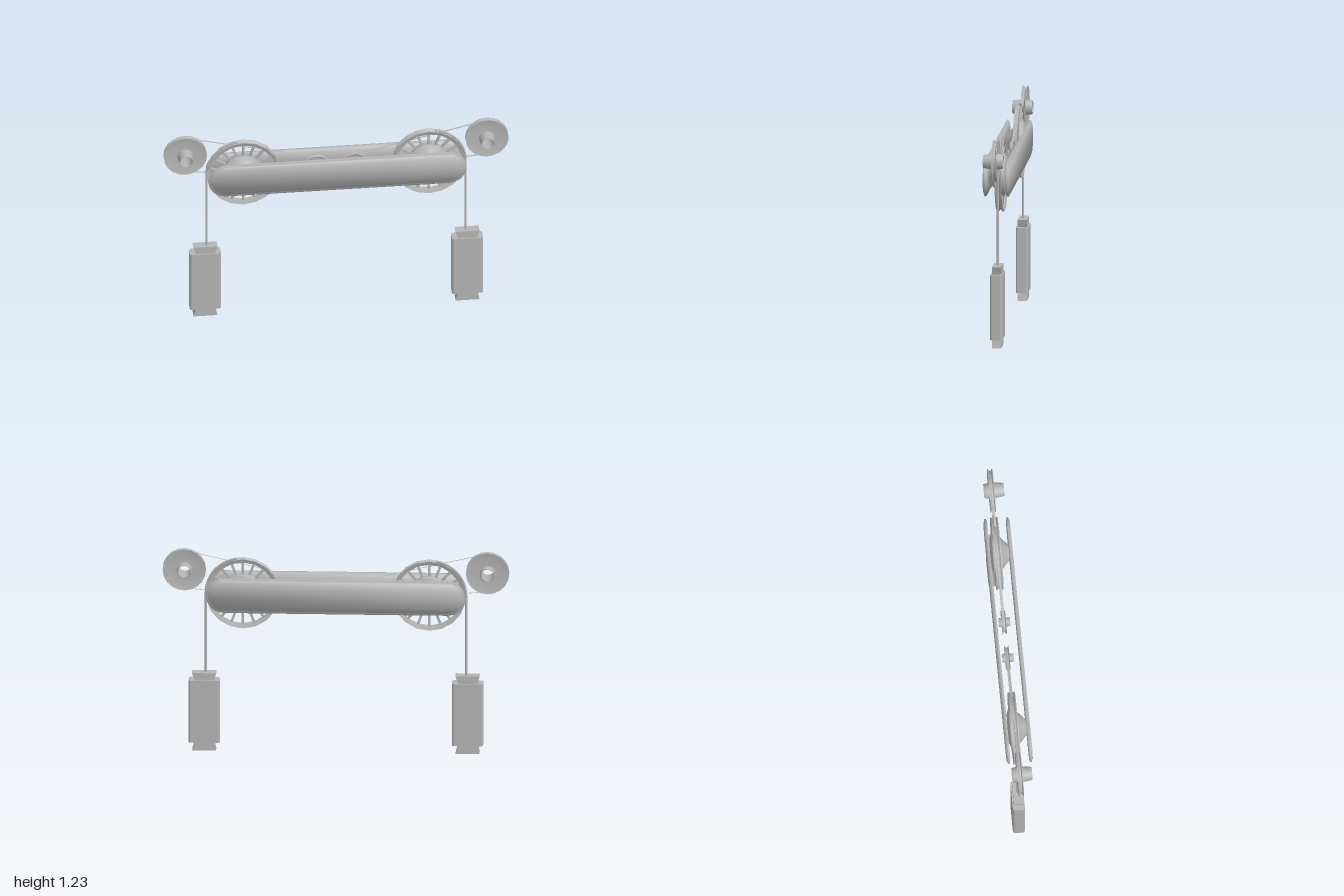
import * as THREE from 'three';
import { toCreasedNormals, mergeGeometries } from 'three/addons/utils/BufferGeometryUtils.js';

const grey = new THREE.MeshStandardMaterial({ color: 0xb3b3b3, side: THREE.DoubleSide });
grey.name = 'grey metal';

function add(parent, name, geo, x = 0, y = 0, z = 0) {
  const m = new THREE.Mesh(geo, grey);
  m.name = name;
  m.position.set(x, y, z);
  parent.add(m);
  return m;
}

// Turned part about the z axis; profile points are [radius, z]
function turned(points, sides) {
  const geo = new THREE.LatheGeometry(points.map(p => new THREE.Vector2(p[0], p[1])), sides);
  return toCreasedNormals(geo.rotateX(Math.PI / 2), 0.6);
}

// Long round-ended cover: rings are [radius, z, outward normal, z normal], closed by a strip cap
function coverPlate(rings, halfLength) {
  const pos = [], nor = [], idx = [], half = 16, n = 2 * (half + 1);
  for (const [r, z, nr, nz] of rings) {
    for (let i = 0; i < n; i++) {
      const right = i <= half;
      const a = -Math.PI / 2 + Math.PI * (right ? i : i - 1) / half;
      const v = new THREE.Vector3(Math.cos(a) * nr, Math.sin(a) * nr, nz).normalize();
      pos.push((right ? halfLength : -halfLength) + r * Math.cos(a), r * Math.sin(a), z);
      nor.push(v.x, v.y, v.z);
    }
  }
  for (let k = 0; k < rings.length - 1; k++) {
    for (let i = 0; i < n; i++) {
      const a = k * n + i, b = k * n + (i + 1) % n;
      idx.push(a, b, b + n, a, b + n, a + n);
    }
  }
  const last = (rings.length - 1) * n;
  for (let i = 0; i < half; i++) {
    // bottom edge point i faces top edge point on the same side of the middle
    const a = i, b = i + 1, c = n - 1 - b, d = n - 1 - a;
    idx.push(last + a, last + b, last + c, last + a, last + c, last + d);
    idx.push(a, c, b, a, d, c);
  }
  idx.push(last + half, last + half + 1, last + half, half, half, half + 1);
  const geo = new THREE.BufferGeometry();
  geo.setAttribute('position', new THREE.Float32BufferAttribute(pos, 3));
  geo.setAttribute('normal', new THREE.Float32BufferAttribute(nor, 3));
  geo.setIndex(idx);
  return geo;
}

// Flat belt running round two pulleys
function beltGeometry(c1, r1, c2, r2, width) {
  const dx = c1[0] - c2[0], dy = c1[1] - c2[1];
  const t = Math.atan2(dy, dx), f = Math.acos(-(r1 - r2) / Math.hypot(dx, dy));
  const path = [], steps = 16;
  const arc = (c, r, from, to) => {
    for (let i = 0; i <= steps; i++) {
      const a = from + (to - from) * i / steps;
      path.push([c[0] + r * Math.cos(a), c[1] + r * Math.sin(a)]);
    }
  };
  arc(c1, r1, t - f, t + f);
  arc(c2, r2, t + f, t + 2 * Math.PI - f);
  path.push(path[0]);
  const geo = new THREE.PlaneGeometry(1, 1, path.length - 1, 1);
  const p = geo.attributes.position;
  for (let i = 0; i < p.count; i++) {
    const q = path[i % path.length];
    p.setXYZ(i, q[0], q[1], (i < path.length ? -0.5 : 0.5) * width);
  }
  geo.computeVertexNormals();
  return geo;
}

// Block tapering from bottom width to top width
function taperBlock(wBottom, wTop, h, d) {
  const geo = new THREE.BoxGeometry(1, h, d);
  const p = geo.attributes.position;
  for (let i = 0; i < p.count; i++) p.setX(i, p.getX(i) * (p.getY(i) > 0 ? wTop : wBottom));
  geo.computeVertexNormals();
  return geo;
}

// Upright block with chamfered vertical edges
function weightBody(w, h, d, c) {
  const x = w / 2, y = d / 2, s = new THREE.Shape();
  s.moveTo(-x + c, -y);
  [[x - c, -y], [x, -y + c], [x, y - c], [x - c, y], [-x + c, y], [-x, y - c], [-x, -y + c]]
    .forEach(p => s.lineTo(p[0], p[1]));
  return new THREE.ExtrudeGeometry(s, { depth: h, bevelEnabled: false }).rotateX(-Math.PI / 2);
}

export function createModel() {
  const model = new THREE.Group();
  model.name = 'pulleyMechanism';
  const Z = -0.015;

  // Front and back covers
  const cover = coverPlate([
    [0.094, 0.056, 1, -1], [0.104, 0.060, 1, -0.3], [0.106, 0.069, 1, 0.4],
    [0.096, 0.070, 0.3, 1], [0.092, 0.071, 1, 0.6], [0.089, 0.075, 1, 1.2]], 0.643);
  add(model, 'frontCover', cover, 0, 0.963, 0);
  add(model, 'backCover', cover, 0, 0.963, 0).rotation.y = Math.PI;

  // Shared geometries
  const rimGeo = turned([[0.19, -0.012], [0.212, -0.02], [0.212, -0.014], [0.202, -0.004],
    [0.202, 0.004], [0.212, 0.014], [0.212, 0.02], [0.19, 0.012], [0.19, -0.012]], 18);
  const hubGeo = turned([[0, -0.035], [0.09, -0.035], [0.112, -0.026], [0.118, -0.012],
    [0.118, 0.012], [0.095, 0.024], [0.06, 0.055], [0.045, 0.07], [0, 0.07]], 24);
  const spokes = [];
  for (let i = 0; i < 18; i++) {
    spokes.push(new THREE.BoxGeometry(0.09, 0.013, 0.016).translate(0.152, 0, 0)
      .rotateZ((i + 0.5) * Math.PI / 9));
  }
  const spokeGeo = mergeGeometries(spokes);
  const outerDiscGeo = turned([[0.045, -0.008], [0.09, -0.008], [0.125, -0.015], [0.125, -0.011],
    [0.112, -0.004], [0.112, 0.004], [0.125, 0.011], [0.125, 0.015], [0.09, 0.008],
    [0.045, 0.008]], 20);
  const outerHubGeo = turned([[0.036, -0.044], [0.039, -0.044], [0.043, -0.035], [0.046, 0],
    [0.044, 0.03], [0.038, 0.072], [0.036, 0.072], [0.036, -0.044]], 20);
  const innerDiscGeo = turned([[0, -0.006], [0.06, -0.006], [0.07, -0.012], [0.058, -0.004],
    [0.058, 0.004], [0.07, 0.012], [0.06, 0.006], [0, 0.006]], 20);
  const innerHubGeo = turned([[0, -0.028], [0.025, -0.028], [0.028, 0], [0.023, 0.037],
    [0, 0.037]], 16);
  const bodyGeo = weightBody(0.18, 0.38, 0.07, 0.009);
  const topCapGeo = taperBlock(0.112, 0.14, 0.045, 0.054);
  const bottomCapGeo = taperBlock(0.138, 0.114, 0.05, 0.054);

  for (const s of [1, -1]) {
    const side = new THREE.Group();
    side.name = s > 0 ? 'leftSide' : 'rightSide';
    model.add(side);

    // Large spoked wheel
    const wheel = new THREE.Group();
    wheel.name = 'spokedWheel';
    wheel.position.set(s * 0.538, 0.963, Z);
    side.add(wheel);
    add(wheel, 'wheelRim', rimGeo);
    add(wheel, 'wheelSpokes', spokeGeo);
    add(wheel, 'wheelHub', hubGeo);

    // Outer and inner pulleys joined by a belt
    add(side, 'outerPulleyDisc', outerDiscGeo, s * 0.875, 1.103, Z);
    add(side, 'outerPulleyHub', outerHubGeo, s * 0.875, 1.103, Z);
    add(side, 'innerPulleyDisc', innerDiscGeo, s * 0.11, 0.975, Z);
    add(side, 'innerPulleyHub', innerHubGeo, s * 0.11, 0.975, Z);
    add(side, 'belt', beltGeometry([s * 0.875, 1.103], 0.114, [s * 0.11, 0.975], 0.06, 0.012), 0, 0, Z);

    // Rope over the wheel and down to the weight
    const pts = [0.465, 0.6, 0.75, 0.88].map(y => new THREE.Vector3(s * 0.751, y, Z));
    for (let i = 0; i <= 8; i++) {
      const a = i * Math.PI / 18;
      pts.push(new THREE.Vector3(s * (0.538 + 0.213 * Math.cos(a)), 0.963 + 0.213 * Math.sin(a), Z));
    }
    add(side, 'rope', new THREE.TubeGeometry(new THREE.CatmullRomCurve3(pts), 48, 0.0065, 8));

    // Hanging weight
    add(side, 'weightBody', bodyGeo, s * 0.76, 0.05, Z);
    add(side, 'weightTopCap', topCapGeo, s * 0.76, 0.4525, Z);
    add(side, 'weightBottomCap', bottomCapGeo, s * 0.76, 0.025, Z);
  }
  return model;
}
